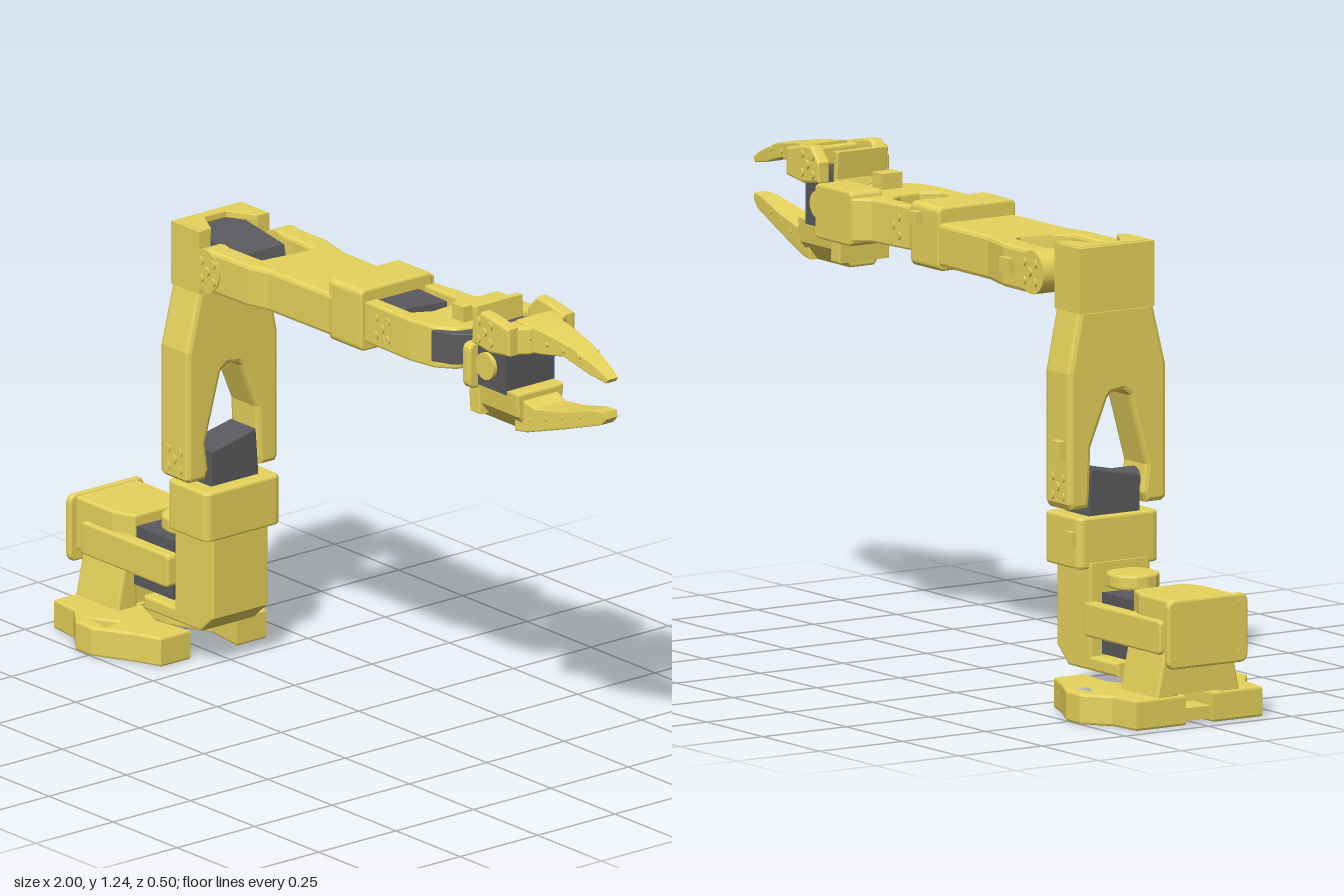
import * as THREE from 'three';

const yellow = new THREE.MeshStandardMaterial({ color: 0xe8d45c });
yellow.name = 'yellow plastic';
const dark = new THREE.MeshStandardMaterial({ color: 0x5a5a5e });
dark.name = 'dark motor grey';

// Bevelled prism of a 2D outline, from depth a to b, with optional holes
function prism(points, a, b, holes = [], bevel = 0.006) {
  const toVec = (p) => p.map(([u, v]) => new THREE.Vector2(u, v));
  const shape = new THREE.Shape(toVec(points));
  holes.forEach((h) => shape.holes.push(new THREE.Path(toVec(h))));
  const geo = new THREE.ExtrudeGeometry(shape, {
    depth: b - a - 2 * bevel, bevelEnabled: bevel > 0, bevelThickness: bevel,
    bevelSize: bevel, bevelOffset: -bevel, bevelSegments: 2,
  });
  return geo.translate(0, 0, a + bevel);
}
const flip = (p, k) => p.map((q) => q.map((v, i) => (i === k ? -v : v)));
// Outline in (x, y), running along z
const side = (p, z0, z1, holes, bevel) => prism(p, z0, z1, holes, bevel);
// Outline in (x, z), running along y
const plan = (p, y0, y1, holes = [], bevel) =>
  prism(flip(p, 1), y0, y1, holes.map((h) => flip(h, 1)), bevel).rotateX(-Math.PI / 2);
// Outline in (z, y), running along x
const cross = (p, x0, x1, holes = [], bevel) =>
  prism(flip(p, 0), x0, x1, holes.map((h) => flip(h, 0)), bevel).rotateY(Math.PI / 2);
// Rectangle outline with rounded corners
function rect(u0, u1, v0, v1, r = 0.02) {
  const pts = [];
  [[u1 - r, v1 - r], [u0 + r, v1 - r], [u0 + r, v0 + r], [u1 - r, v0 + r]].forEach(([cu, cv], q) => {
    for (let i = 0; i <= 4; i++) {
      const t = (q + i / 4) * Math.PI / 2;
      pts.push([cu + r * Math.cos(t), cv + r * Math.sin(t)]);
    }
  });
  return pts;
}
const box = (x0, x1, y0, y1, z0, z1) =>
  new THREE.BoxGeometry(x1 - x0, y1 - y0, z1 - z0).translate((x0 + x1) / 2, (y0 + y1) / 2, (z0 + z1) / 2);

export function createModel() {
  const model = new THREE.Group();
  let parent = model;
  const section = (name) => {
    parent = new THREE.Group();
    parent.name = name;
    model.add(parent);
  };
  const add = (name, geo, mat = yellow) => {
    const mesh = new THREE.Mesh(geo, mat);
    mesh.name = name;
    parent.add(mesh);
    return mesh;
  };
  // Joint disc with four screw heads on a face of constant z
  const joint = (x, y, z, s) => {
    const disc = (dx, dy, r, h) => new THREE.CylinderGeometry(r, r, h, 20).rotateX(Math.PI / 2).translate(x + dx, y + dy, z + s * h / 2);
    add('jointDisc', disc(0, 0, 0.012, 0.006));
    for (let i = 0; i < 4; i++) {
      const t = Math.PI / 4 + i * Math.PI / 2;
      add('jointScrew', disc(0.033 * Math.cos(t), 0.033 * Math.sin(t), 0.011, 0.005));
    }
  };

  // Base: two splayed feet, rear block, side arms and motor
  section('base');
  for (const s of [1, -1]) {
    const foot = [[-0.96, 0.04], [-0.96, 0.19], [-0.87, 0.2], [-0.8, 0.252], [-0.74, 0.252], [-0.64, 0.2], [-0.565, 0.17], [-0.565, 0.075], [-0.68, 0.09], [-0.8, 0.04]];
    const gap = [[-0.8, 0.21], [-0.72, 0.22], [-0.73, 0.17]];
    add('foot', plan(foot.map(([x, z]) => [x, s * z]), 0.008, 0.085, [gap.map(([x, z]) => [x, s * z])]));
    add('sideArm', side(rect(-0.95, -0.61, 0.19, 0.277, 0.012), s > 0 ? 0.078 : -0.112, s > 0 ? 0.112 : -0.078));
    add('footGusset', cross([[s * 0.06, 0.08], [s * 0.125, 0.08], [s * 0.1, 0.2], [s * 0.06, 0.2]], -0.955, -0.79));
  }
  add('rearCrossbar', box(-0.955, -0.87, 0.018, 0.05, -0.05, 0.05));
  add('rearColumn', box(-0.955, -0.8, 0.088, 0.2, -0.07, 0.07));
  add('rearBlock', plan([[-0.985, -0.1], [-0.985, 0.1], [-0.84, 0.1], [-0.78, 0.075], [-0.78, -0.075], [-0.84, -0.1]], 0.19, 0.33));
  add('backPlate', cross(rect(-0.12, 0.12, 0.16, 0.335), -1, -0.98));
  for (const z of [-0.095, 0.095]) for (const y of [0.185, 0.31])
    add('backScrew', new THREE.CylinderGeometry(0.009, 0.009, 0.004, 14).rotateZ(Math.PI / 2).translate(-1, y, z));
  add('baseMotor', box(-0.8, -0.635, 0.145, 0.3, -0.072, 0.072), dark);

  // Turning shoulder bracket and its motor holder
  section('shoulder');
  add('shoulderBracket', side([[-0.73, 0.1], [-0.51, 0.1], [-0.46, 0.145], [-0.46, 0.37], [-0.61, 0.37], [-0.61, 0.135], [-0.73, 0.135]], -0.09, 0.09));
  add('shoulderTopPlate', plan(rect(-0.73, -0.6, -0.065, 0.065, 0.06), 0.312, 0.35));
  add('shoulderHolder', plan(rect(-0.603, -0.445, -0.12, 0.123), 0.355, 0.485));
  add('holderScrewBoss', box(-0.59, -0.56, 0.41, 0.45, -0.132, -0.115));
  add('shoulderMotor', cross([[0.075, 0.47], [0.075, 0.575], [-0.07, 0.605], [-0.08, 0.47]], -0.585, -0.485, [], 0.003), dark);
  add('shoulderAxle', new THREE.CylinderGeometry(0.035, 0.035, 0.18, 20).rotateX(Math.PI / 2).translate(-0.54, 0.555, 0), dark);

  // Upper arm: forked legs merging into the elbow holder
  section('upperArm');
  add('upperArmFrame', cross([
    [0.15, 0.515], [0.138, 0.505], [0.09, 0.505], [0.08, 0.53], [0.09, 0.6], [0.04, 0.78], [0.02, 0.795], [-0.015, 0.79], [-0.025, 0.78],
    [-0.075, 0.66], [-0.08, 0.53], [-0.085, 0.505], [-0.135, 0.505], [-0.143, 0.52], [-0.143, 0.85], [-0.11, 1.01], [0.11, 1.01], [0.15, 0.85],
  ], -0.595, -0.485, [], 0.012));
  add('elbowHolderBack', box(-0.595, -0.565, 1.0, 1.165, -0.113, 0.113));
  for (const s of [1, -1]) {
    add('elbowHolderWall', box(-0.58, -0.485, 1.0, 1.165, s * 0.095 - 0.018, s * 0.095 + 0.018));
    joint(-0.54, 0.56, s > 0 ? 0.149 : -0.142, s);
  }
  add('elbowHolderTop', plan([[-0.58, -0.1], [-0.485, -0.1], [-0.485, -0.075], [-0.56, -0.035], [-0.56, 0.035], [-0.485, 0.075], [-0.485, 0.1], [-0.58, 0.1]], 1.15, 1.168, [], 0.002));
  add('cableClip', box(-0.58, -0.54, 0.63, 0.68, -0.163, -0.135));
  add('elbowMotor', side([[-0.568, 1.03], [-0.4, 1.035], [-0.365, 1.06], [-0.38, 1.12], [-0.568, 1.15]], -0.075, 0.075, [], 0.003), dark);
  add('elbowAxle', new THREE.CylinderGeometry(0.035, 0.035, 0.18, 20).rotateX(Math.PI / 2).translate(-0.425, 1.085, 0), dark);

  // Forearm: fork, waist opening and wrist holder
  section('forearm');
  add('forearmFrame', plan([
    [-0.43, 0.14], [-0.27, 0.135], [-0.21, 0.118], [0.03, 0.115], [0.03, -0.118], [-0.2, -0.12], [-0.3, -0.145], [-0.43, -0.145],
    [-0.43, -0.082], [-0.35, -0.082], [-0.26, -0.072], [-0.18, -0.025], [-0.165, 0], [-0.18, 0.025], [-0.28, 0.075], [-0.43, 0.078],
  ], 1.03, 1.14, [[[-0.1, -0.018], [-0.075, -0.036], [0.015, -0.036], [0.015, 0.03], [-0.075, 0.03], [-0.1, 0.015]]], 0.01));
  for (const s of [1, -1]) {
    const z0 = s > 0 ? 0.079 : -0.145;
    add('elbowEar', new THREE.CylinderGeometry(0.055, 0.055, 0.063, 28).rotateX(Math.PI / 2).translate(-0.428, 1.085, z0 + 0.0315));
    joint(-0.42, 1.085, s > 0 ? 0.142 : -0.145, s);
  }
  add('cableClip', box(-0.355, -0.31, 1.07, 1.11, -0.162, -0.13));
  add('wristHolder', cross(rect(-0.12, 0.112, 1.018, 1.18, 0.015), 0.018, 0.145));
  add('holderScrewBoss', box(0.09, 0.125, 1.13, 1.16, -0.14, -0.115));
  add('wristMotor', plan([[0.14, -0.075], [0.26, -0.07], [0.235, 0.04], [0.2, 0.075], [0.14, 0.075]], 1.045, 1.145, [], 0.003), dark);
  add('wristAxle', new THREE.CylinderGeometry(0.035, 0.035, 0.17, 20).rotateX(Math.PI / 2).translate(0.21, 1.1, 0), dark);

  // Wrist: fork and roll motor housing
  section('wrist');
  add('wristFrame', plan([
    [0.165, 0.115], [0.34, 0.118], [0.42, 0.105], [0.465, 0.07], [0.495, -0.02], [0.5, -0.163], [0.34, -0.163], [0.31, -0.125], [0.165, -0.11],
    [0.165, -0.077], [0.29, -0.077], [0.32, -0.03], [0.325, 0.03], [0.3, 0.077], [0.165, 0.077],
  ], 1.05, 1.16));
  add('rollHousing', side(rect(0.34, 0.505, 1.037, 1.176, 0.015), -0.164, -0.07));
  add('housingBoss', box(0.4, 0.445, 1.15, 1.2, -0.03, 0.03));
  joint(0.23, 1.105, 0.115, 1);
  joint(0.23, 1.105, -0.113, -1);
  add('rollMotor', plan([[0.42, 0.112], [0.47, 0.092], [0.53, 0.03], [0.53, -0.05], [0.42, -0.05]], 1.07, 1.152, [], 0.003), dark);

  // Gripper: fixed lower jaw with motor mount, moving upper jaw
  section('gripper');
  // Narrow a blade in z towards its tip
  const taper = (geo) => {
    const p = geo.attributes.position;
    for (let i = 0; i < p.count; i++)
      p.setZ(i, p.getZ(i) * THREE.MathUtils.mapLinear(p.getX(i), 0.68, 1, 1, 0.28));
    geo.computeVertexNormals();
    return geo;
  };
  add('mountPlate', side([[0.525, 0.96], [0.565, 0.96], [0.555, 1.12], [0.55, 1.24], [0.53, 1.24], [0.538, 1.17], [0.515, 1.1]], -0.075, 0.075, [], 0.003));
  add('mountFlange', cross(rect(-0.1, 0.105, 1.03, 1.15), 0.53, 0.56));
  add('fixedJawBody', cross([[0.076, 1.05], [0.07, 0.99], [0.035, 0.945], [-0.035, 0.945], [-0.07, 0.99], [-0.076, 1.05]], 0.53, 0.71));
  add('fixedJawBlade', taper(side([[0.68, 0.945], [0.72, 0.95], [0.85, 0.99], [0.97, 1.03], [0.99, 1.05], [0.985, 1.067], [0.94, 1.062], [0.84, 1.035], [0.75, 1.02], [0.68, 1.04]], -0.06, 0.06, [], 0.004)));
  add('gripperMotor', box(0.555, 0.67, 1.04, 1.155, -0.078, 0.078), dark);
  add('gripperMotorTop', box(0.555, 0.665, 1.15, 1.185, -0.07, 0.07), dark);
  add('motorHorn', new THREE.CylinderGeometry(0.035, 0.035, 0.18, 24).rotateX(Math.PI / 2).translate(0.6, 1.1, 0));
  for (const s of [1, -1]) {
    add('movingJawEar', side([[0.57, 1.16], [0.57, 1.21], [0.605, 1.248], [0.64, 1.245], [0.715, 1.23], [0.715, 1.16], [0.64, 1.15]], s * 0.09 - 0.018, s * 0.09 + 0.018));
    joint(0.62, 1.2, s * 0.108, s);
  }
  add('movingJawBridge', plan([[0.665, -0.1], [0.7, -0.1], [0.735, -0.05], [0.735, 0.05], [0.7, 0.1], [0.665, 0.1]], 1.158, 1.23));
  add('movingJawBlade', taper(side([[0.68, 1.16], [0.68, 1.237], [0.77, 1.228], [0.87, 1.21], [0.96, 1.175], [0.995, 1.155], [0.985, 1.143], [0.93, 1.152], [0.84, 1.178], [0.76, 1.165]], -0.055, 0.055, [], 0.004)));
  // Small rivets along both blades
  for (let i = 0; i < 4; i++) for (const s of [1, -1]) {
    const x = 0.73 + i * 0.055;
    const z = 0.058 * THREE.MathUtils.mapLinear(x, 0.68, 1, 1, 0.28);
    for (const y of [0.985 + i * 0.016, 1.2 - i * 0.003])
      add('jawRivet', new THREE.CylinderGeometry(0.006, 0.006, 0.008, 12).rotateX(Math.PI / 2).translate(x, y, s * z));
  }
  return model;
}
